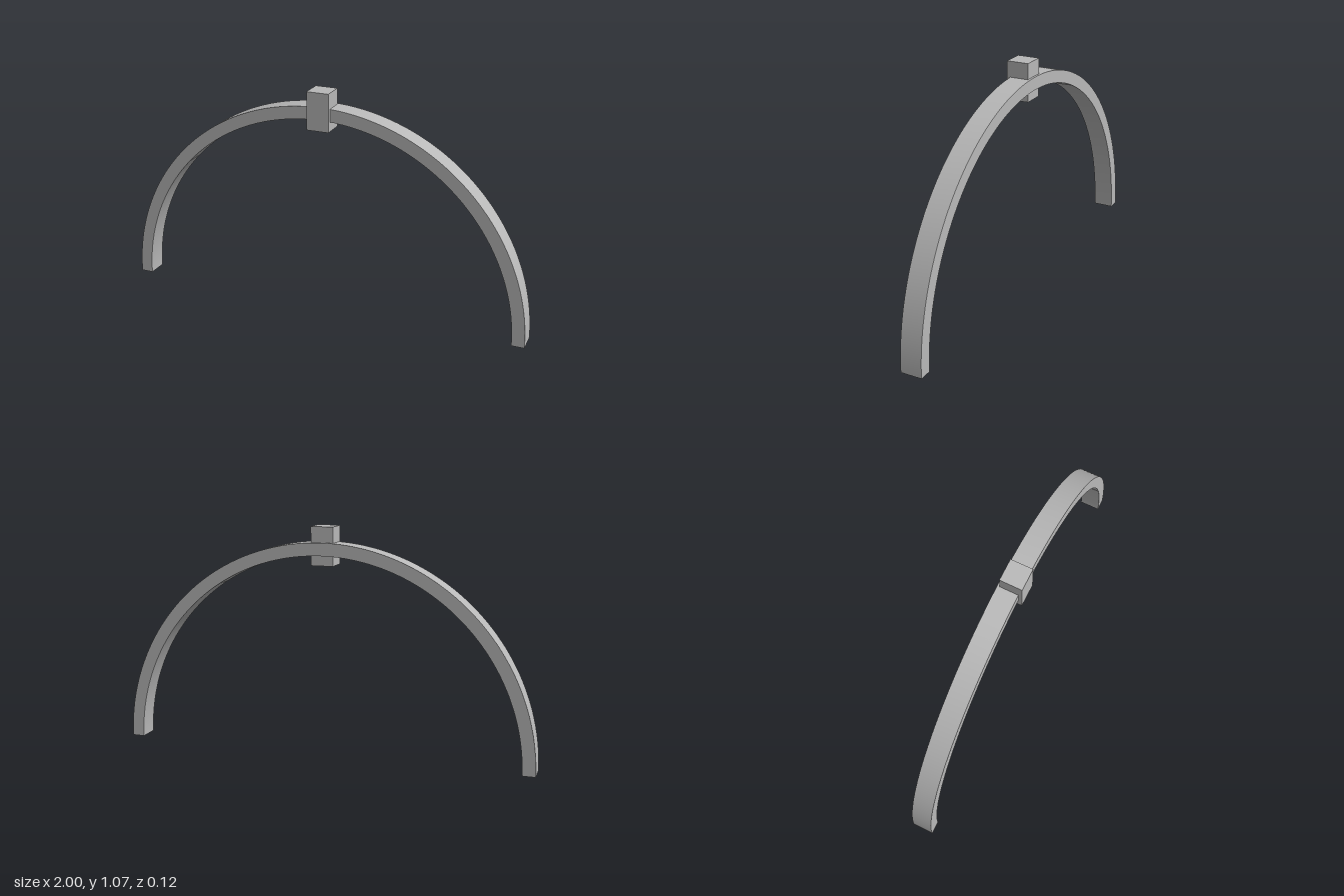
import * as THREE from 'three';
import { toCreasedNormals } from 'three/addons/utils/BufferGeometryUtils.js';

export function createModel() {
  const model = new THREE.Group();
  model.name = 'archway';
  const grey = new THREE.MeshStandardMaterial({ name: 'grey', color: 0xb8b8b8 });

  // Half-ring band, set slightly towards the back
  const ring = new THREE.Shape();
  ring.absarc(0, 0, 1, 0, Math.PI, false);
  ring.absarc(0, 0, 0.94, Math.PI, 0, true);
  ring.closePath();
  const band = new THREE.ExtrudeGeometry(ring, { depth: 0.1, bevelEnabled: false, curveSegments: 64 });
  band.translate(0, 0, -0.058);
  const arch = new THREE.Mesh(toCreasedNormals(band, 0.6), grey);
  arch.name = 'arch';

  // Keystone block, standing proud of the front, top and underside
  const keystone = new THREE.Mesh(new THREE.BoxGeometry(0.106, 0.179, 0.106), grey);
  keystone.name = 'keystone';
  keystone.position.set(0, 0.983, 0.006);

  model.add(arch, keystone);
  return model;
}
